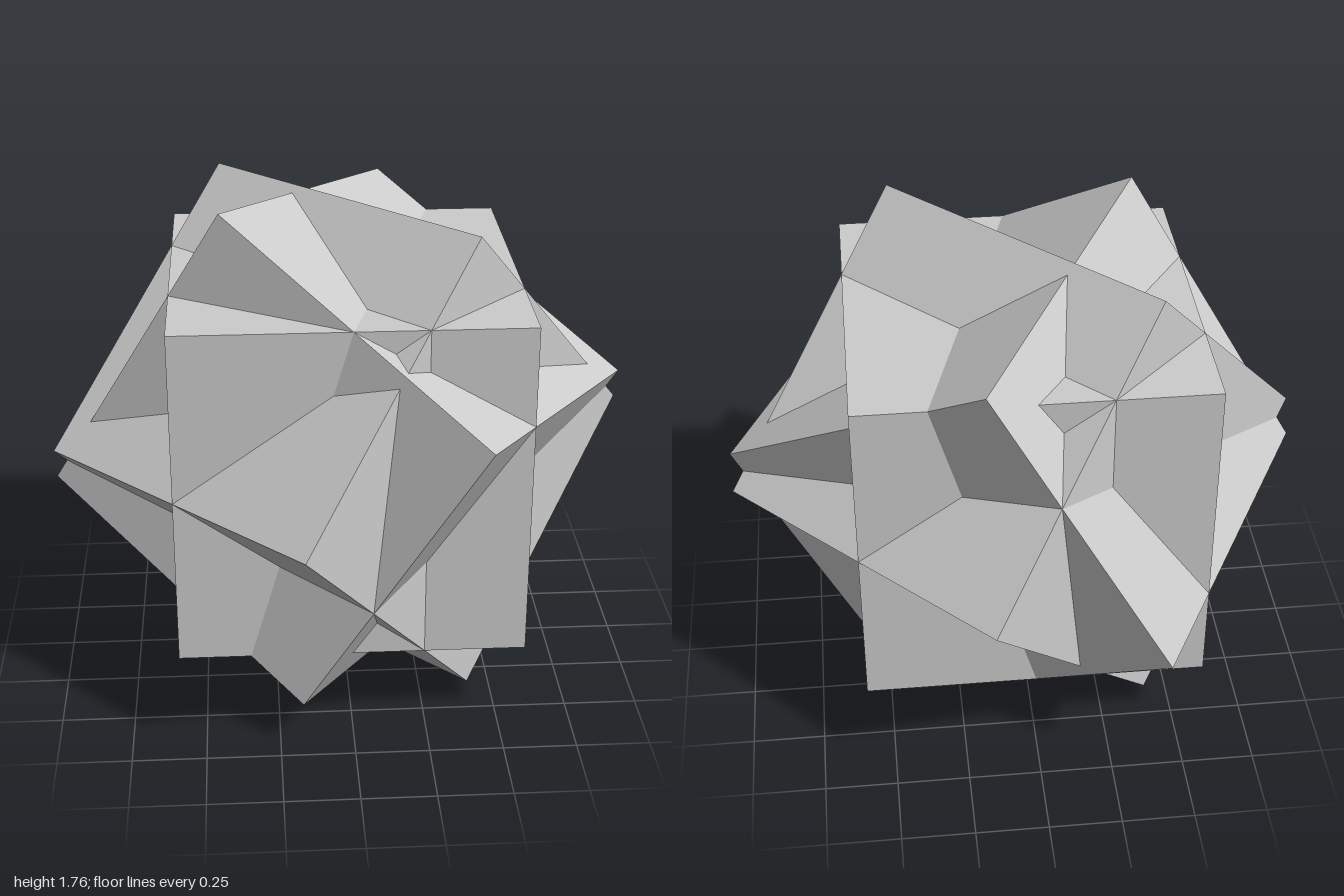
import * as THREE from 'three';

// Three equal cubes sharing one centre, each turned by steps of 45 degrees
export function createModel() {
  const group = new THREE.Group();
  group.name = 'cubeCompound';
  const q = Math.PI / 4;
  const half = 2 - Math.SQRT2; // a corner then reaches exactly x = 1
  const material = new THREE.MeshStandardMaterial({ color: 0xcccccc, flatShading: true });

  // Each turn is [axis, angle], applied in order
  const cubes = {
    uprightCube: [],
    twiceTurnedCube: [['Z', q], ['Y', q]],
    thriceTurnedCube: [['X', q], ['Z', -q], ['X', -q]],
  };

  for (const [name, turns] of Object.entries(cubes)) {
    const geometry = new THREE.BoxGeometry(2 * half, 2 * half, 2 * half);
    for (const [axis, angle] of turns) geometry['rotate' + axis](angle);
    const mesh = new THREE.Mesh(geometry, material);
    mesh.name = name;
    mesh.position.y = 1.5 * half; // lowest corner rests on the ground
    group.add(mesh);
  }
  return group;
}
